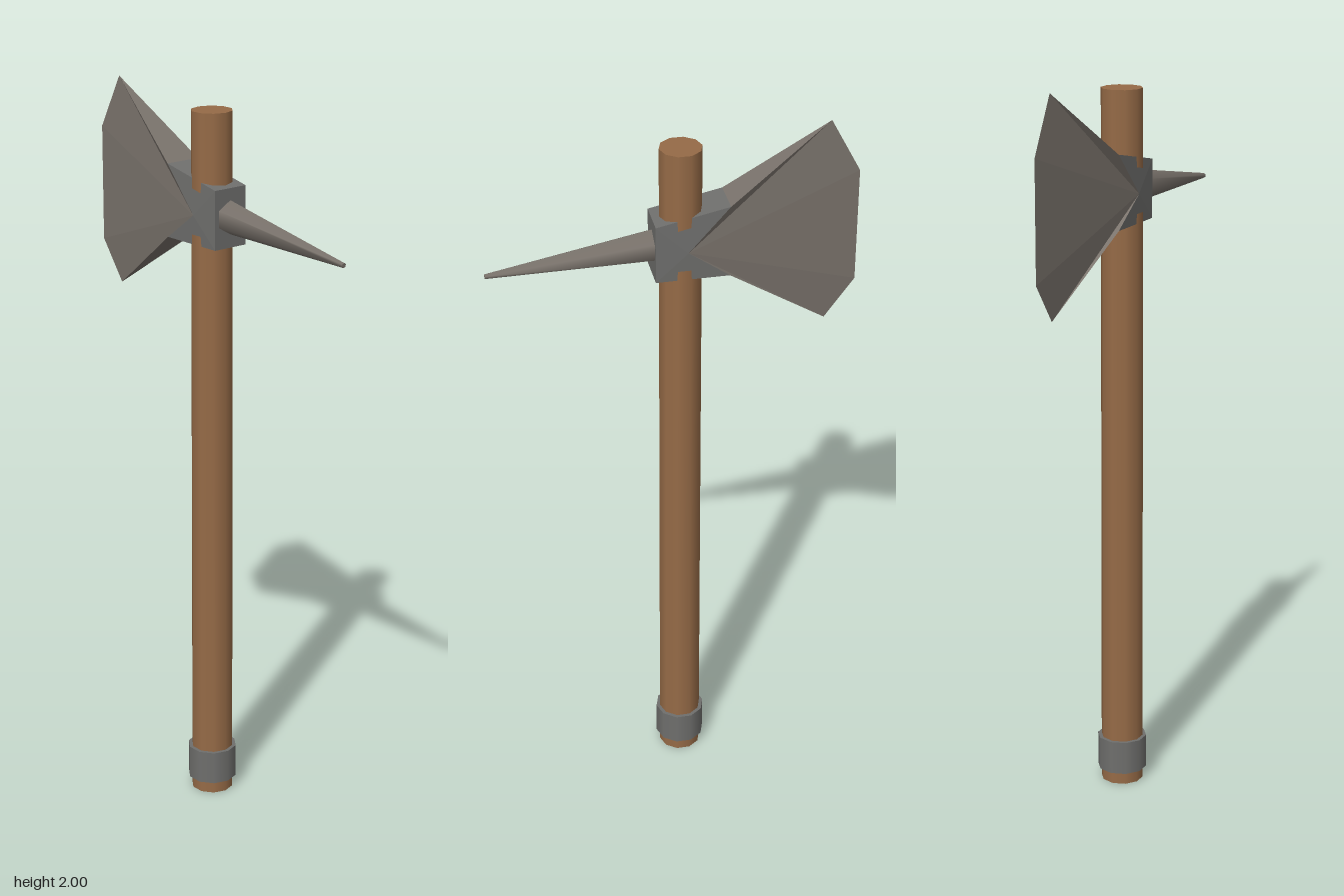
import * as THREE from 'three';

const wood = new THREE.MeshStandardMaterial({ name: 'wood', color: 0x966b47 });
const steel = new THREE.MeshStandardMaterial({ name: 'steel', color: 0x7a736c });
const iron = new THREE.MeshStandardMaterial({ name: 'iron', color: 0x6f6f6d });

function mesh(name, geometry, material) {
  const m = new THREE.Mesh(geometry, material);
  m.name = name;
  return m;
}

// Faceted geometry: cheek triangles are mirrored to the back, the others span both sides
function faceted(cheek, spanning) {
  const flip = ([x, y, z]) => [x, y, -z];
  const back = cheek.map(([a, b, c]) => [flip(a), flip(c), flip(b)]);
  const g = new THREE.BufferGeometry();
  const points = [...cheek, ...back, ...spanning].flat(2);
  g.setAttribute('position', new THREE.Float32BufferAttribute(points, 3));
  g.computeVertexNormals();
  return g;
}

// Splits a quad into two triangles
const quad = (a, b, c, d) => [[a, b, c], [a, c, d]];

export function createModel() {
  const group = new THREE.Group();
  const handleX = -0.02;

  // Ten-sided tapered handle and the band near its foot
  const handle = mesh('handle', new THREE.CylinderGeometry(0.056, 0.059, 1.965, 10).rotateY(Math.PI / 2), wood);
  handle.position.set(handleX, 1.965 / 2, 0);
  const band = mesh('footBand', new THREE.CylinderGeometry(0.069, 0.069, 0.095, 10).rotateY(Math.PI / 2), iron);
  band.position.set(handleX, 0.0825, 0);
  group.add(handle, band);

  // Corners shared by the blade and the socket
  const apex = [-0.03, 1.69, 0.0562];
  const w = 0.0525;
  const topL = [-0.14, 1.81, w], topLBack = [-0.14, 1.81, -w];
  const botL = [-0.14, 1.61, w], botLBack = [-0.14, 1.61, -w];
  const topR = [0.055, 1.77, w], topRBack = [0.055, 1.77, -w];
  const botR = [0.055, 1.61, w], botRBack = [0.055, 1.61, -w];

  // Blade: a fan from the cheek apex to the cutting edge, with beveled flanks
  const tipTop = [-0.41, 2.0, 0], tipBot = [-0.41, 1.42, 0];
  const edgeTop = [-0.49, 1.85, 0], edgeBot = [-0.49, 1.53, 0];
  group.add(mesh('blade', faceted(
    [
      [apex, topL, tipTop], [apex, tipTop, edgeTop], [apex, edgeTop, edgeBot],
      [apex, edgeBot, tipBot], [apex, tipBot, botL],
    ],
    [[topL, topLBack, tipTop], [botL, tipBot, botLBack]],
  ), steel));

  // Socket wrapped around the handle, its cheeks rising slightly to the apex
  group.add(mesh('socket', faceted(
    [[apex, topR, topL], [apex, botR, topR], [apex, botL, botR]],
    [
      ...quad(botR, botRBack, topRBack, topR),
      ...quad(topR, topRBack, topLBack, topL),
      ...quad(botL, botLBack, botRBack, botR),
    ],
  ), iron));

  // Six-sided back spike, drooping towards its tip
  const start = new THREE.Vector3(0.05, 1.692, 0);
  const end = new THREE.Vector3(0.489, 1.65, 0);
  const axis = end.clone().sub(start);
  const spikeGeometry = new THREE.CylinderGeometry(0.007, 0.046, axis.length(), 6).rotateY(Math.PI / 2);
  const spike = mesh('spike', spikeGeometry, steel);
  spike.position.copy(start).add(end).multiplyScalar(0.5);
  spike.quaternion.setFromUnitVectors(new THREE.Vector3(0, 1, 0), axis.normalize());
  group.add(spike);

  return group;
}
